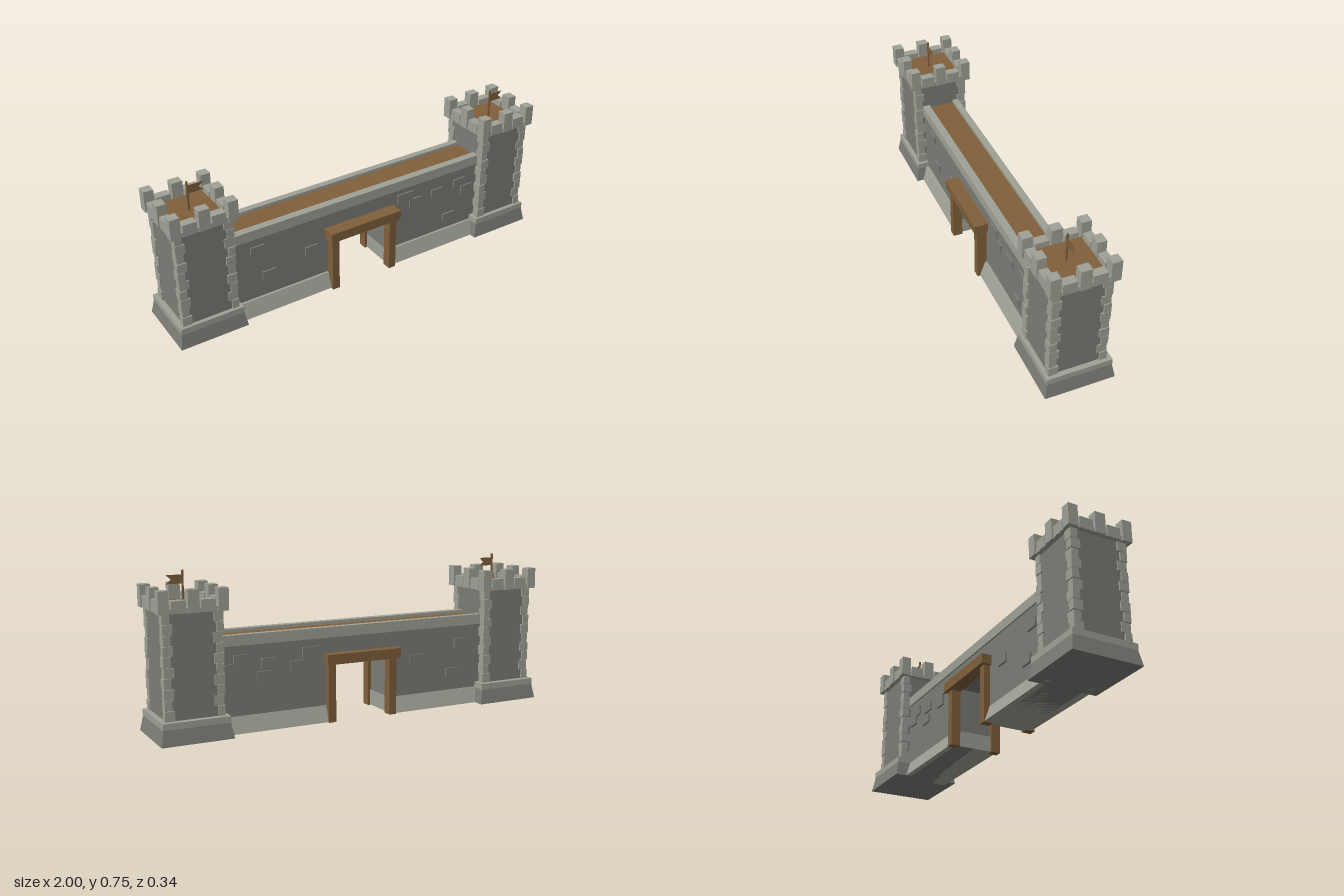
import * as THREE from 'three';

const mat = (name, color) => {
  const m = new THREE.MeshStandardMaterial({ color });
  m.name = name;
  return m;
};

export function createModel() {
  const darkStone = mat('dark stone', 0x7c7d76);
  const lightStone = mat('light stone', 0xa0a196);
  const wood = mat('wood', 0x80603b);
  const flagCloth = wood.clone();
  flagCloth.name = 'flag cloth';
  flagCloth.side = THREE.DoubleSide;

  const add = (parent, name, geometry, material) => {
    const mesh = new THREE.Mesh(geometry, material);
    mesh.name = name;
    parent.add(mesh);
    return mesh;
  };

  // Box given by its limits; inX and inZ pull the top edges inward to make a batter
  const block = (parent, name, material, [x0, x1], [y0, y1], [z0, z1], inX = 0, inZ = 0) => {
    const g = new THREE.BoxGeometry(x1 - x0, y1 - y0, z1 - z0);
    const p = g.attributes.position;
    for (let i = 0; i < p.count; i++) {
      if (p.getY(i) < 0) continue;
      p.setX(i, p.getX(i) - Math.sign(p.getX(i)) * inX);
      p.setZ(i, p.getZ(i) - Math.sign(p.getZ(i)) * inZ);
    }
    g.computeVertexNormals();
    g.translate((x0 + x1) / 2, (y0 + y1) / 2, (z0 + z1) / 2);
    return add(parent, name, g, material);
  };
  const around = (c, half) => [c - half, c + half];

  const makeTower = (name) => {
    const t = new THREE.Group();
    t.name = name;
    const cz = 0.005;

    // Sloped foot, ledge and shaft
    block(t, 'towerFoot', darkStone, around(0, 0.168), [0.003, 0.075], around(0, 0.168), 0.013, 0.013);
    block(t, 'towerLedge', lightStone, around(0, 0.156), [0.075, 0.105], around(0, 0.156));
    block(t, 'towerShaft', darkStone, around(0, 0.131), [0.105, 0.58], around(cz, 0.131));

    // Corner stones, alternating long and short on each face
    const rows = 10, rowH = 0.475 / rows;
    for (const sx of [-1, 1]) for (const sz of [-1, 1]) for (let i = 0; i < rows; i++) {
      const long = (i + (sx * sz > 0 ? 1 : 0)) % 2 === 0;
      const w = long ? 0.046 : 0.034, d = long ? 0.034 : 0.046;
      const out = i % 3 === 1 ? 0.136 : 0.139;
      const y = 0.105 + i * rowH;
      block(t, 'cornerStone', lightStone, around(sx * (out - w / 2), w / 2),
        [y + 0.001, y + rowH - 0.001], around(cz + sz * (out - d / 2), d / 2));
    }

    // Overhanging crown and timber floor
    block(t, 'towerCrown', lightStone, around(0, 0.151), [0.578, 0.6], around(cz, 0.151));
    block(t, 'towerFloor', wood, around(0, 0.114), [0.599, 0.605], around(cz, 0.114));

    // Battlements: tall corners and centres with low stones between them
    const tall = [0.578, 0.68], low = [0.579, 0.634];
    for (const sx of [-1, 1]) for (const sz of [-1, 1])
      block(t, 'cornerMerlon', lightStone, around(sx * 0.135, 0.0235), tall, around(cz + sz * 0.135, 0.0235));
    for (const s of [-1, 1]) {
      block(t, 'middleMerlon', lightStone, around(0, 0.026), tall, around(cz + s * 0.135, 0.022));
      block(t, 'middleMerlon', lightStone, around(s * 0.135, 0.022), tall, around(cz, 0.026));
      for (const o of [-0.068, 0.068]) {
        block(t, 'lowMerlon', lightStone, around(o, 0.033), low, around(cz + s * 0.133, 0.021));
        block(t, 'lowMerlon', lightStone, around(s * 0.133, 0.021), low, around(cz + o, 0.033));
      }
    }

    // Flagpole with swallowtail flag
    block(t, 'flagpole', wood, around(-0.006, 0.004), [0.6, 0.747], around(0.015, 0.004));
    const s = new THREE.Shape();
    [[-0.003, 0.687], [0.07, 0.687], [0.047, 0.707], [0.07, 0.727], [-0.003, 0.727]]
      .forEach(([x, y], i) => (i ? s.lineTo(x, y) : s.moveTo(x, y)));
    add(t, 'flag', new THREE.ExtrudeGeometry(s, { depth: 0.003, bevelEnabled: false }), flagCloth)
      .position.z = 0.0135;
    return t;
  };

  const group = new THREE.Group();
  group.name = 'castleGate';
  for (const s of [-1, 1]) {
    const tower = makeTower(s > 0 ? 'leftTower' : 'rightTower');
    tower.position.x = s * 0.832;
    group.add(tower);
  }

  // Wall around the gate opening
  const back = -0.086, front = 0.096;
  block(group, 'wallRightOfGate', darkStone, [-0.72, -0.17], [0.003, 0.41], [back, front]);
  block(group, 'wallLeftOfGate', darkStone, [0.148, 0.72], [0.003, 0.41], [back, front]);
  block(group, 'wallOverGate', darkStone, [-0.17, 0.148], [0.3, 0.41], [back, front]);

  // Sloped plinths
  for (const x of [[-0.72, -0.168], [0.146, 0.72]])
    block(group, 'wallPlinth', lightStone, x, [0.003, 0.08], [-0.113, 0.133], 0, 0.025);

  // Parapets and walkway
  block(group, 'backParapet', lightStone, [-0.72, 0.72], [0.405, 0.455], [-0.094, -0.062]);
  block(group, 'frontParapet', lightStone, [-0.72, 0.72], [0.405, 0.455], [0.066, 0.104]);
  block(group, 'walkway', wood, [-0.72, 0.72], [0.408, 0.44], [-0.063, 0.067]);

  // Timber gate frames on both faces
  for (const [name, lintelZ, postZ] of [
    ['frontGateFrame', [0.085, 0.163], [0.1, 0.147]],
    ['backGateFrame', [-0.135, -0.07], [-0.117, -0.07]],
  ]) {
    const f = new THREE.Group();
    f.name = name;
    block(f, 'lintel', wood, [-0.208, 0.186], [0.282, 0.33], lintelZ);
    block(f, 'gatePost', wood, [-0.194, -0.156], [0, 0.283], postZ);
    block(f, 'gatePost', wood, [0.134, 0.172], [0, 0.283], postZ);
    group.add(f);
  }

  // Raised stones scattered over the wall: x, y, width, height
  const stones = (name, z, list) => list.forEach(([x, y, w = 0.07, h = 0.045]) =>
    block(group, name, darkStone, around(x, w / 2), around(y, h / 2), z));
  stones('frontWallStone', [0.09, 0.104], [
    [-0.565, 0.342], [-0.51, 0.19], [-0.28, 0.24], [0.257, 0.35, 0.09, 0.05], [0.318, 0.305],
    [0.452, 0.315], [0.592, 0.33], [0.64, 0.28], [0.532, 0.147],
  ]);
  stones('backWallStone', [-0.095, -0.08], [
    [0.6, 0.34], [0.645, 0.3], [0.465, 0.315], [0.485, 0.255], [0.32, 0.29],
    [0.25, 0.345, 0.09, 0.05], [-0.32, 0.26], [-0.58, 0.32], [-0.53, 0.17],
  ]);
  return group;
}
